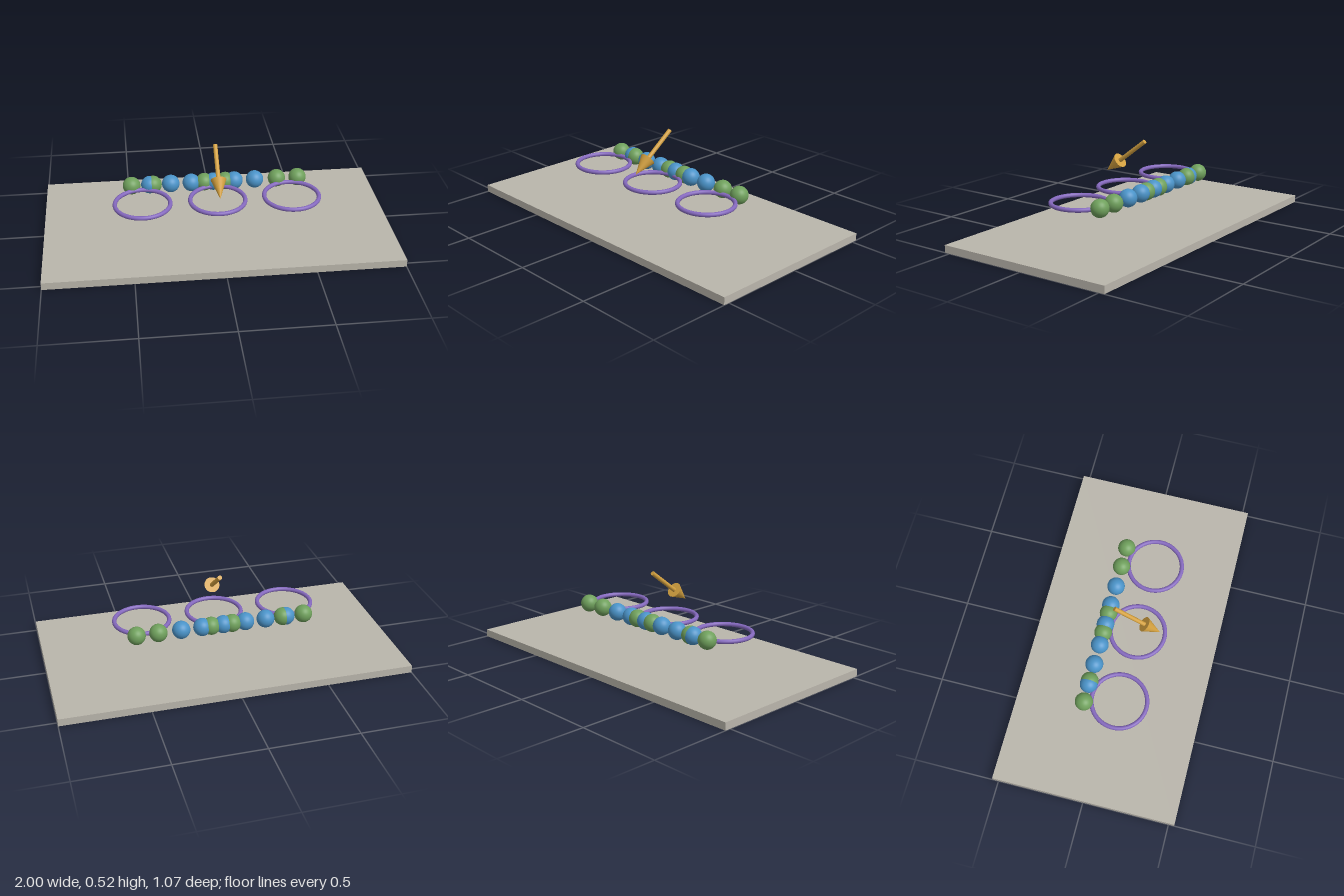
import * as THREE from 'three';

function material(name, color) {
  const m = new THREE.MeshStandardMaterial({ color });
  m.name = name;
  return m;
}

export function createModel() {
  const model = new THREE.Group();
  model.name = 'beadsAndRings';

  const stone = material('stone grey', 0xb9b5ab);
  const green = material('leaf green', 0x6fa05c);
  const blue = material('sky blue', 0x4a93c8);
  const purple = material('violet', 0x8468bd);
  const gold = material('gold', 0xd3a03f);

  function add(name, geometry, mat, x, y, z, parent = model) {
    const mesh = new THREE.Mesh(geometry, mat);
    mesh.name = name;
    mesh.position.set(x, y, z);
    parent.add(mesh);
    return mesh;
  }

  // Base slab
  add('baseSlab', new THREE.BoxGeometry(2, 0.043, 1.066), stone, 0, 0.0215, 0);

  // Row of overlapping balls along the back
  const ball = new THREE.SphereGeometry(0.0515, 32, 20);
  const row = {
    green: [green, [-0.485, -0.36, -0.058, 0.065, 0.371, 0.495]],
    blue: [blue, [-0.378, -0.256, -0.135, -0.005, 0.118, 0.24]],
  };
  for (const [name, [mat, xs]] of Object.entries(row)) {
    xs.forEach((x, i) => add(`${name}Ball${i + 1}`, ball, mat, x, 0.237, -0.123));
  }

  // Three flat rings in front of the balls
  const ring = new THREE.TorusGeometry(0.158, 0.0125, 16, 64).rotateX(Math.PI / 2);
  [-0.43, 0, 0.428].forEach((x, i) => add(`ring${i + 1}`, ring, purple, x, 0.223, 0.069));

  // Arrow slanting down towards the front, built along +y with its tip at the origin
  const tip = new THREE.Vector3(0, 0.304, 0.199);
  const tail = new THREE.Vector3(0, 0.506, -0.067);
  const length = tip.distanceTo(tail);
  const headLength = 0.117;
  const shaftLength = length - headLength;
  const arrow = new THREE.Group();
  arrow.name = 'arrow';
  arrow.position.copy(tip);
  arrow.quaternion.setFromUnitVectors(
    new THREE.Vector3(0, 1, 0), tip.clone().sub(tail).normalize());
  add('arrowHead', new THREE.ConeGeometry(0.0445, headLength, 24), gold, 0, -headLength / 2, 0, arrow);
  add('arrowShaft', new THREE.CylinderGeometry(0.0125, 0.0125, shaftLength, 20), gold,
    0, -headLength - shaftLength / 2, 0, arrow);
  model.add(arrow);

  return model;
}
